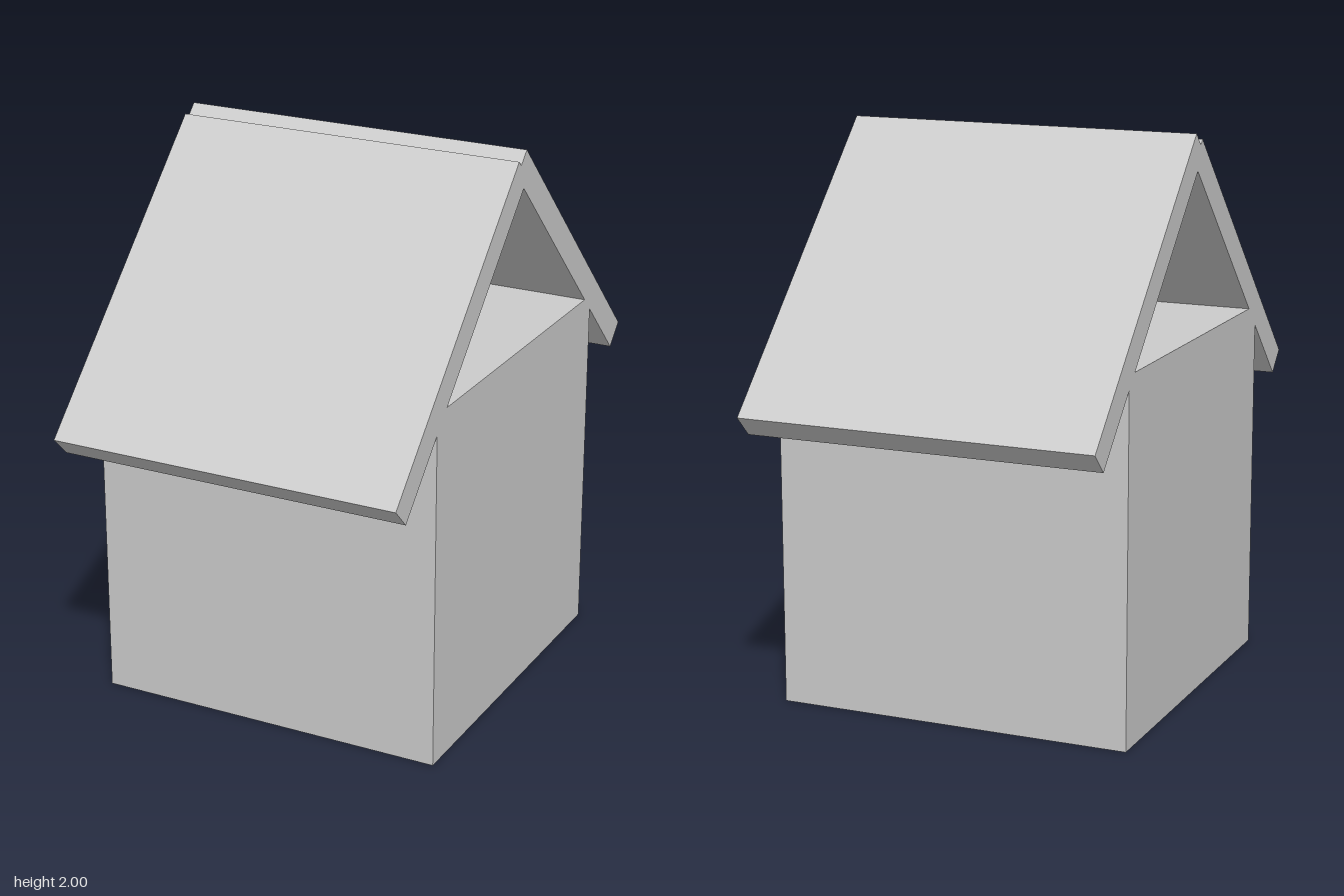
import * as THREE from 'three';

const SIDE = 1.285;  // edge of the square body and of each roof panel
const THICK = 0.104; // roof panel thickness

export function createModel() {
  const group = new THREE.Group();
  const material = new THREE.MeshStandardMaterial({ color: 0xcccccc, flatShading: true });

  const addBox = (name, size, position, tilt = 0) => {
    const mesh = new THREE.Mesh(new THREE.BoxGeometry(...size), material);
    mesh.name = name;
    mesh.position.set(...position);
    mesh.rotation.x = tilt;
    group.add(mesh);
  };

  // Cubic body with a closed flat top
  addBox('body', [SIDE, SIDE + 0.005, SIDE], [0, (SIDE + 0.005) / 2, -0.002]);

  // Two crossed roof panels at 45 degrees, the back one slightly higher; gables stay open
  addBox('frontRoofPanel', [SIDE, THICK, SIDE], [0, 1.483, 0.448], Math.PI / 4);
  addBox('backRoofPanel', [SIDE, THICK, SIDE], [0, 1.509, -0.448], -Math.PI / 4);

  return group;
}
